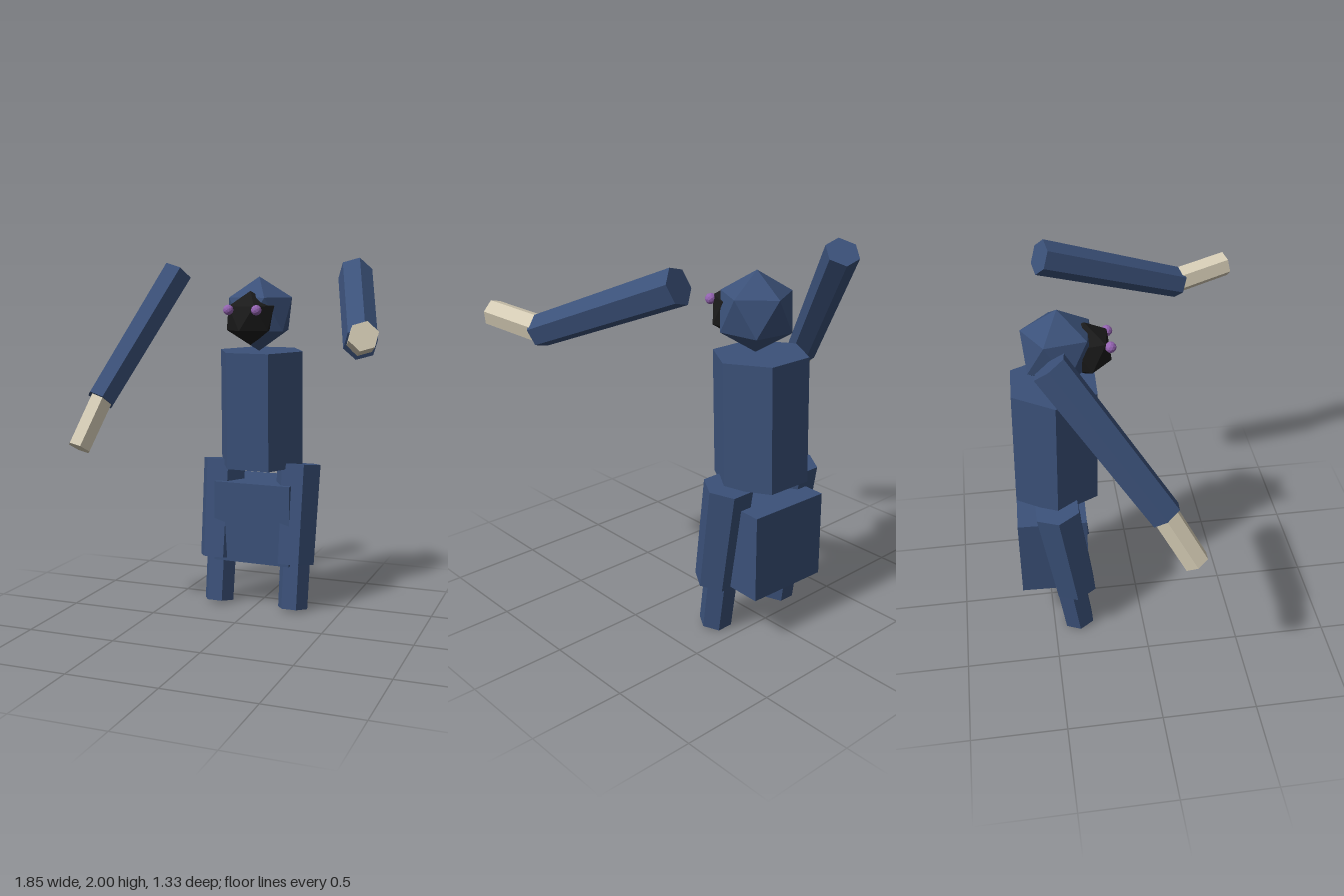
import * as THREE from 'three';

const paint = (name, color) => {
  const m = new THREE.MeshStandardMaterial({ color, flatShading: true });
  m.name = name;
  return m;
};

export function createModel() {
  const model = new THREE.Group();
  model.name = 'blockyCreature';
  const blue = paint('furBlue', 0x3b5179);
  const cream = paint('pawCream', 0xd6cdb6);
  const black = paint('faceBlack', 0x1b1b1b);
  const purple = paint('eyePurple', 0x9363b0);

  const add = (name, geometry, material, position) => {
    const mesh = new THREE.Mesh(geometry, material);
    mesh.name = name;
    mesh.position.set(...position);
    model.add(mesh);
    return mesh;
  };

  // Six-sided limb between two points, corners facing the sides
  const limb = (name, top, bottom, rTop, rBottom, material) => {
    const a = new THREE.Vector3(...top), b = new THREE.Vector3(...bottom);
    const axis = a.clone().sub(b);
    const geometry = new THREE.CylinderGeometry(rTop, rBottom, axis.length(), 6).rotateY(Math.PI / 6);
    const mesh = add(name, geometry, material, a.clone().add(b).multiplyScalar(0.5).toArray());
    mesh.quaternion.setFromUnitVectors(new THREE.Vector3(0, 1, 0), axis.normalize());
  };

  // Icosahedron standing on a corner
  const facetedBall = (r) =>
    new THREE.IcosahedronGeometry(r, 0).rotateZ(-Math.atan(2 / (1 + Math.sqrt(5)))).rotateY(0.17);

  // Torso and hips
  const torso = add('torso', new THREE.CylinderGeometry(0.25, 0.25, 0.66, 6).rotateY(Math.PI / 6),
    blue, [0, 1.16, -0.43]);
  torso.rotation.set(0.025, -0.035, 0);
  const hips = add('hips', new THREE.BoxGeometry(0.46, 0.465, 0.37), blue, [-0.003, 0.503, -0.473]);
  hips.rotation.y = -0.035;

  // Head, face and eyes
  add('head', facetedBall(0.208), blue, [0, 1.697, -0.387]);
  add('face', facetedBall(0.149), black, [-0.005, 1.678, -0.255]);
  for (const [name, x] of [['rightEye', -0.09], ['leftEye', 0.072]]) {
    add(name, new THREE.IcosahedronGeometry(0.029, 1), purple, [x, 1.725, -0.135]);
  }

  // Legs
  for (const [side, x, z] of [['right', -0.235, -0.015], ['left', 0.226, 0]]) {
    limb(side + 'Thigh', [x, 0.845, -0.437 + z], [x, 0.278, -0.355 + z], 0.13, 0.12, blue);
    limb(side + 'Shin', [x, 0.31, -0.386 + z], [x, 0.015, -0.345 + z], 0.09, 0.088, blue);
  }

  // Raised arms, floating clear of the body
  limb('rightUpperArm', [-0.54, 1.925, -0.465], [-0.795, 1.22, 0.03], 0.095, 0.085, blue);
  limb('rightForearm', [-0.785, 1.25, 0.01], [-0.86, 0.965, 0.17], 0.07, 0.068, cream);
  limb('leftUpperArm', [0.54, 1.92, -0.43], [0.775, 1.588, 0.36], 0.095, 0.085, blue);
  limb('leftForearm', [0.772, 1.6, 0.34], [0.86, 1.642, 0.645], 0.072, 0.07, cream);

  return model;
}
